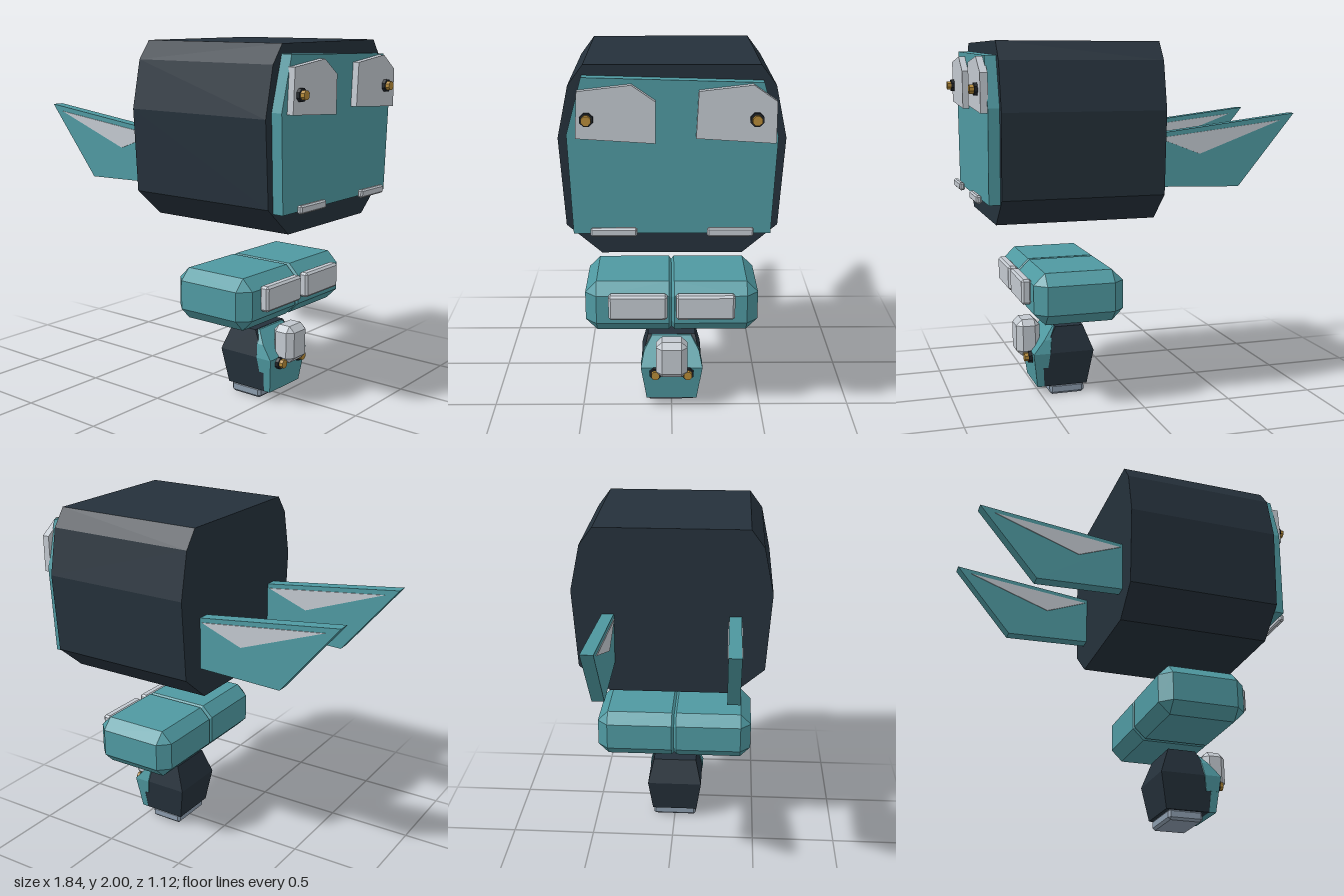
import * as THREE from 'three';
import { ConvexGeometry } from 'three/addons/geometries/ConvexGeometry.js';

export function createModel() {
  const model = new THREE.Group();
  model.name = 'blockyCreature';

  const paint = (name, color) => {
    const m = new THREE.MeshStandardMaterial({ color });
    m.name = name;
    return m;
  };
  const teal = paint('teal', 0x4f99a1);
  const dark = paint('darkSlate', 0x25313b);
  const grey = paint('paleGrey', 0xc2c8cf);
  const steel = paint('steelBlue', 0x8b9bac);
  const gold = paint('gold', 0xb58a38);
  const black = paint('black', 0x1f2429);

  const add = (name, geometry, material) => {
    const mesh = new THREE.Mesh(geometry, material);
    mesh.name = name;
    model.add(mesh);
    return mesh;
  };

  // Faceted solid around [x, y, z] points
  const hull = (points) => new ConvexGeometry(points.map((p) => new THREE.Vector3(...p)));

  // Prism along x from a [z, y] outline
  const prismX = (outline, x0, x1) =>
    hull(outline.flatMap(([z, y]) => [[x0, y, z], [x1, y, z]]));

  // Prism along z from an [x, y] outline
  const prismZ = (outline, z0, z1) =>
    hull(outline.flatMap(([x, y]) => [[x, y, z0], [x, y, z1]]));

  // Stacked rectangles: rows of [y, back x, front x, half width in z]
  const stack = (rows) =>
    hull(rows.flatMap(([y, a, b, w]) => [[a, y, -w], [b, y, -w], [a, y, w], [b, y, w]]));

  // Box with every edge chamfered by c
  const chamferBox = (x0, x1, y0, y1, z0, z1, c) => {
    const points = [];
    for (const [x, sx] of [[x0, c], [x1, -c]])
      for (const [y, sy] of [[y0, c], [y1, -c]])
        for (const [z, sz] of [[z0, c], [z1, -c]])
          points.push([x, y + sy, z + sz], [x + sx, y, z + sz], [x + sx, y + sy, z]);
    return hull(points);
  };

  // Gold stud in a black collar, pointing along +x
  const stud = (name, x, y, z) => {
    const disc = (part, r, x0, x1, material) => {
      const g = new THREE.CylinderGeometry(r, r, x1 - x0, 8).toNonIndexed();
      g.rotateY(Math.PI / 8);
      g.rotateZ(-Math.PI / 2);
      g.computeVertexNormals();
      add(name + part, g, material).position.set((x0 + x1) / 2, y, z);
    };
    disc('Collar', 0.035, x - 0.015, x + 0.018, black);
    disc('Pupil', 0.025, x, x + 0.04, gold);
  };

  // Big head block and face plate
  add('headBlock', prismX([
    [0.43, 2], [0.505, 1.9], [0.56, 1.64], [0.53, 1.19], [0.355, 1.04],
    [-0.355, 1.04], [-0.53, 1.19], [-0.56, 1.64], [-0.505, 1.9], [-0.43, 2],
  ], -0.095, 0.785), dark);
  add('facePlate', prismX([
    [0.435, 1.95], [0.512, 1.67], [0.49, 1.165],
    [-0.49, 1.165], [-0.515, 1.66], [-0.44, 1.925],
  ], 0.78, 0.845), teal);

  // Eye plates share one orientation instead of being mirrored
  const eyeOutline = [[0.455, 1.89], [0.195, 1.92], [0.08, 1.84], [0.08, 1.635], [0.467, 1.66]];
  [['left', 0, 0.41], ['right', -0.582, -0.405]].forEach(([side, shift, eyeZ]) => {
    add(side + 'EyePlate', prismX(eyeOutline.map(([z, y]) => [z + shift, y]), 0.84, 0.88), grey);
    stud(side + 'Eye', 0.88, 1.755, eyeZ);
  });

  // Paired parts on both sides
  for (const s of [1, -1]) {
    const span = (a, b) => [Math.min(a * s, b * s), Math.max(a * s, b * s)];

    add('mouthBar', chamferBox(0.865, 0.895, 1.163, 1.207, ...span(0.173, 0.403), 0.008), grey);

    // Rear fins with a triangular inlay on each face
    add('rearFin', prismZ([
      [-0.92, 1.605], [-0.09, 1.505], [-0.09, 1.215], [-0.585, 1.2],
    ], ...span(0.322, 0.39)), teal);
    const inlay = [[-0.835, 1.567], [-0.108, 1.482], [-0.35, 1.39]];
    add('finInlayOuter', prismZ(inlay, ...span(0.389, 0.395)), grey);
    add('finInlayInner', prismZ(inlay, ...span(0.317, 0.323)), grey);

    // Torso half: deep chamfer outside, slight one at the seam
    const section = (z, inset, c) => {
      const [x0, x1, y0, y1] = [0.1 + inset, 0.6 - inset, 0.49 + inset, 0.775 - inset];
      return [
        [x0, y0 + c], [x0 + c, y0], [x1 - c, y0], [x1, y0 + c],
        [x1, y1 - c], [x1 - c, y1], [x0 + c, y1], [x0, y1 - c],
      ].map(([x, y]) => [x, y, z * s]);
    };
    add('torsoHalf', hull([
      ...section(0, 0.014, 0.058), ...section(0.014, 0, 0.063),
      ...section(0.408, 0, 0.063), ...section(0.47, 0.063, 0),
    ]), teal);
    add('chestPlate', chamferBox(0.595, 0.65, 0.592, 0.732, ...span(0.024, 0.34), 0.012), grey);
  }

  // Lower body: dark shell with a stepped teal front
  add('lowerShell', stack([
    [0.055, 0.235, 0.487, 0.14], [0.255, 0.2, 0.5, 0.168], [0.4, 0.255, 0.415, 0.133],
  ]), dark);
  add('lowerFront', stack([
    [0.055, 0.485, 0.525, 0.141], [0.175, 0.493, 0.54, 0.159],
  ]), teal);
  add('upperFront', stack([
    [0.17, 0.465, 0.54, 0.159], [0.255, 0.455, 0.55, 0.172],
    [0.33, 0.445, 0.486, 0.154], [0.398, 0.415, 0.428, 0.11],
  ]), teal);
  add('snout', chamferBox(0.49, 0.626, 0.222, 0.435, -0.087, 0.087, 0.033), grey);
  stud('lowerLeftEye', 0.55, 0.225, 0.09);
  stud('lowerRightEye', 0.55, 0.225, -0.09);

  // Base foot
  add('foot', chamferBox(0.25, 0.45, 0, 0.06, -0.135, 0.135, 0.013), steel);

  return model;
}
